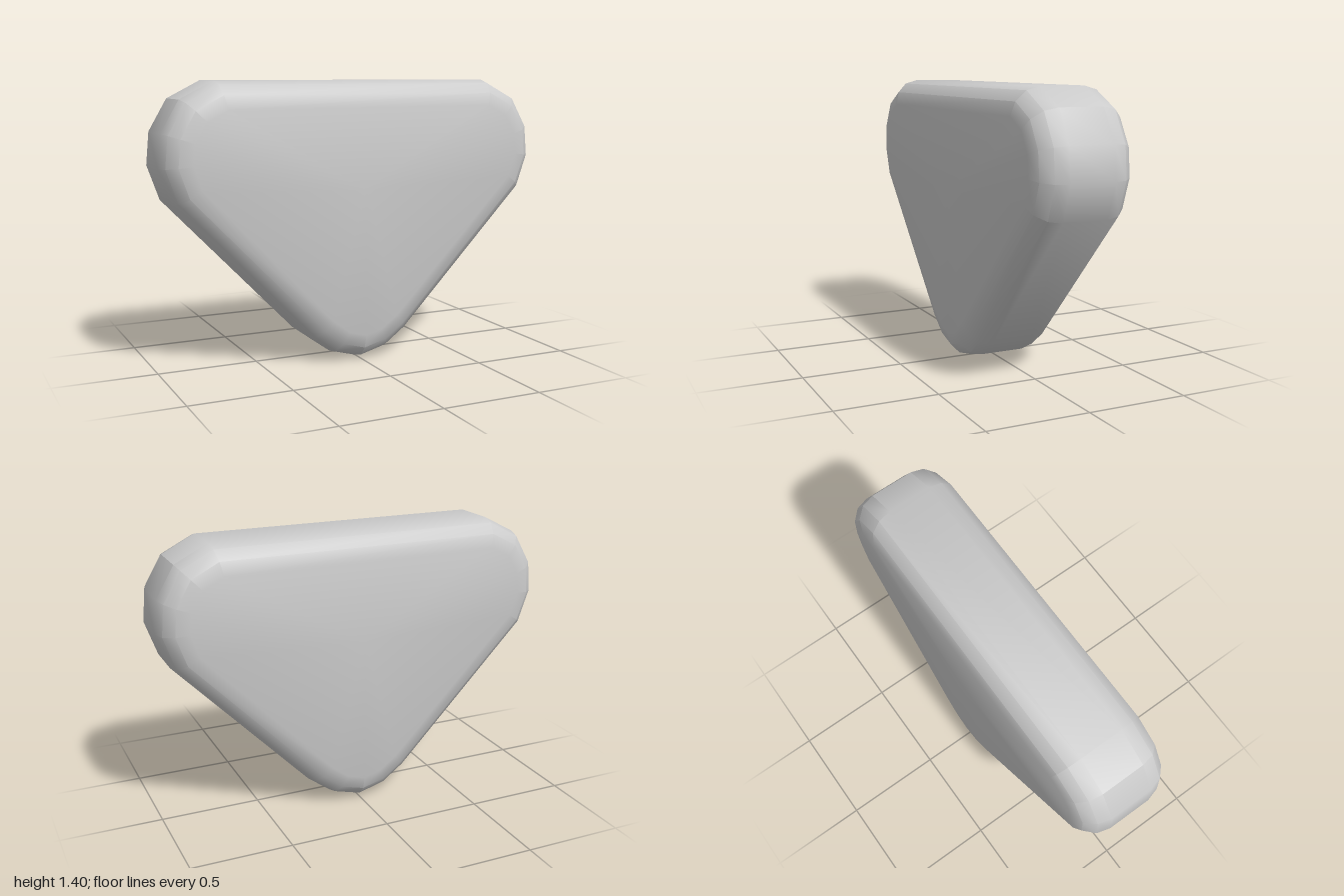
import * as THREE from 'three';
import { toCreasedNormals } from 'three/addons/utils/BufferGeometryUtils.js';

// Right half of the rounded triangular outline, from bottom tip to top edge
const half = [[0, 0], [0.145, 0.04], [0.26, 0.125], [0.94, 0.83], [1, 1], [0.985, 1.16], [0.895, 1.315], [0.73, 1.4]];
const BEVEL = 0.13, STRAIGHT = 0.11, STEPS = 3;

// Moves every edge of a counter-clockwise outline inward by d
function inset(outline, d) {
  const n = outline.length;
  const inward = outline.map((p, i) => {
    const e = outline[(i + 1) % n].clone().sub(p).normalize();
    return new THREE.Vector2(-e.y, e.x);
  });
  return outline.map((p, i) => {
    const a = inward[(i + n - 1) % n], b = inward[i];
    return a.clone().add(b).multiplyScalar(d / (1 + a.dot(b))).add(p);
  });
}

function bevelledSlab(outline) {
  const n = outline.length, positions = [], index = [];

  // Rounded rim: cross-sections from the front face to the back face
  const sections = [];
  for (let s = STEPS; s >= 0; s--) {
    const t = (s / STEPS) * Math.PI / 2;
    sections.push([BEVEL * (1 - Math.cos(t)), STRAIGHT + BEVEL * Math.sin(t)]);
  }
  const all = [...sections, ...sections.slice().reverse().map(([d, z]) => [d, -z])];
  for (const [d, z] of all) {
    for (const p of inset(outline, d)) positions.push(p.x, p.y, z);
  }
  for (let r = 0; r < all.length - 1; r++) {
    for (let i = 0; i < n; i++) {
      const j = (i + 1) % n;
      const a = r * n + i, b = r * n + j, c = b + n, d = a + n;
      index.push(a, d, b, b, d, c);
    }
  }

  // Flat front and back faces
  const depth = STRAIGHT + BEVEL, last = (all.length - 1) * n, centre = all.length * n;
  positions.push(0, 0.87, depth, 0, 0.87, -depth);
  for (let i = 0; i < n; i++) {
    const j = (i + 1) % n;
    index.push(centre, i, j, centre + 1, last + j, last + i);
  }

  const geometry = new THREE.BufferGeometry();
  geometry.setAttribute('position', new THREE.Float32BufferAttribute(positions, 3));
  geometry.setIndex(index);
  return toCreasedNormals(geometry, THREE.MathUtils.degToRad(31.5));
}

export function createModel() {
  const group = new THREE.Group();
  group.name = 'roundedTriangle';
  const mirrored = half.slice(1).reverse().map(([x, y]) => [-x, y]);
  const outline = [...half, ...mirrored].map(([x, y]) => new THREE.Vector2(x, y));
  const body = new THREE.Mesh(bevelledSlab(outline), new THREE.MeshStandardMaterial({ color: 0xcccccc }));
  body.name = 'body';
  group.add(body);
  return group;
}
